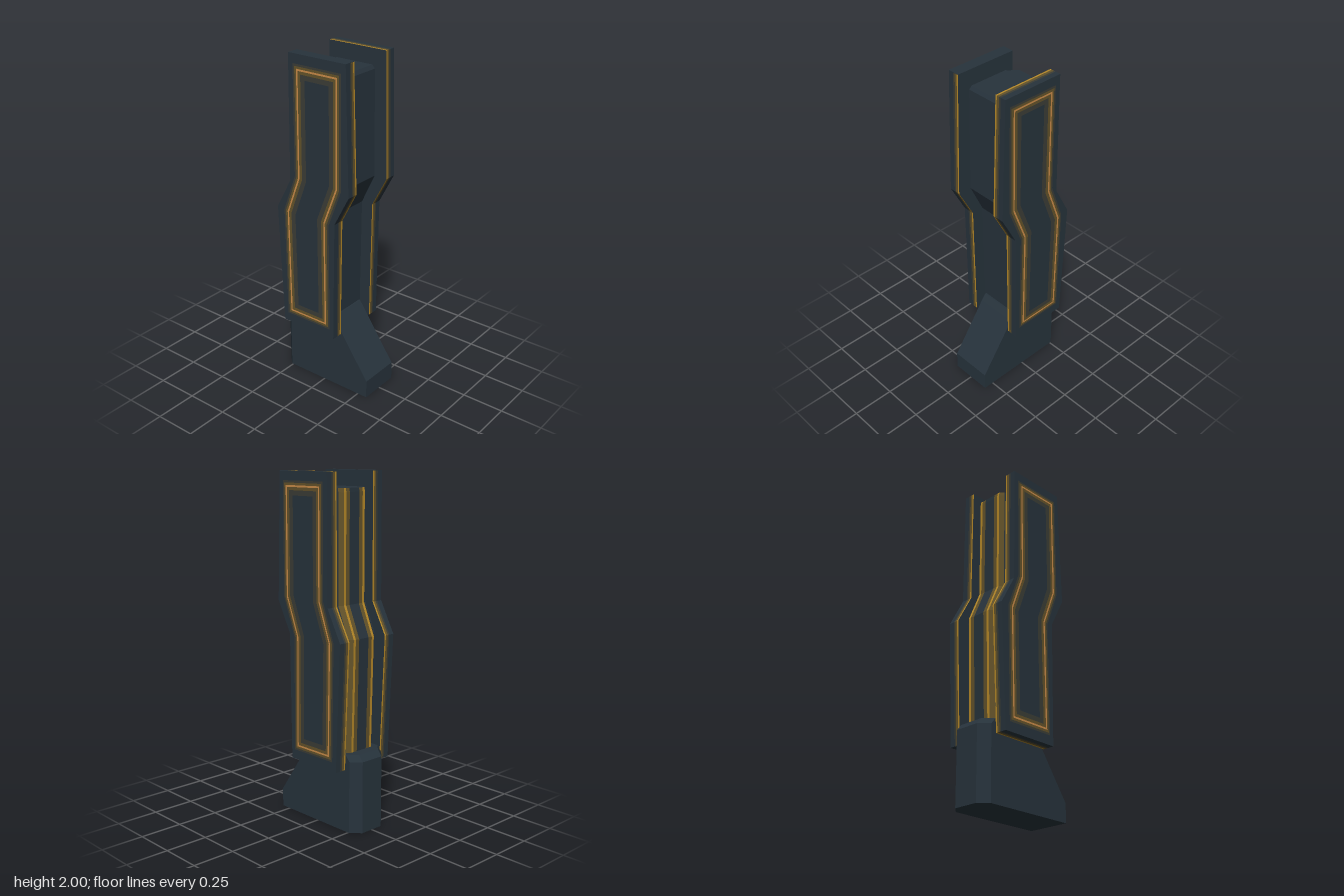
import * as THREE from 'three';

const mat = (name, color) => Object.assign(new THREE.MeshStandardMaterial({ color }), { name });

// Panel silhouette and inlay path as [z, y], running down the front and up the back
const PANEL = [[0.213, 2], [0.235, 1.28], [0.14, 1.1], [0.13, 0.37],
  [-0.235, 0.37], [-0.267, 1.1], [-0.17, 1.28], [-0.165, 2]];
const INLAY = [[0.155, 1.918], [0.155, 1.31], [0.07, 1.09], [0.075, 0.455],
  [-0.177, 0.455], [-0.187, 1.09], [-0.105, 1.31], [-0.105, 1.918]];

// Grow (d > 0) or shrink a clockwise outline with mitred corners
function offset(points, d) {
  const n = points.length;
  const normal = (a, b) => new THREE.Vector2(a[1] - b[1], b[0] - a[0]).normalize();
  return points.map((p, i) => {
    const n1 = normal(points[(i + n - 1) % n], p);
    const n2 = normal(p, points[(i + 1) % n]);
    const k = d / (1 + n1.dot(n2));
    return [p[0] + (n1.x + n2.x) * k, p[1] + (n1.y + n2.y) * k];
  });
}

// Skin horizontal rings of [x, y, z] points from bottom to top; bands[i] is the material of strip i
function loft(rings, bands) {
  const pos = [];
  const geo = new THREE.BufferGeometry();
  const n = rings[0].length;
  const add = (m, ...pts) => {
    geo.addGroup(pos.length / 3, pts.length, m);
    pts.forEach((p) => pos.push(...p));
  };
  for (let i = 0; i < n; i++) {
    const j = (i + 1) % n;
    for (let k = 0; k + 1 < rings.length; k++) {
      const lo = rings[k], hi = rings[k + 1];
      add(bands[i] ?? 0, lo[i], lo[j], hi[j], lo[i], hi[j], hi[i]);
    }
    const bottom = rings[0], top = rings[rings.length - 1];
    add(0, [0, bottom[0][1], 0], bottom[j], bottom[i]);
    add(0, [0, top[0][1], 0], top[i], top[j]);
  }
  geo.setAttribute('position', new THREE.Float32BufferAttribute(pos, 3));
  geo.computeVertexNormals();
  return geo;
}

// Mirror a half section, listed from front to back, into a full ring
const mirrorRing = (half, y) => [
  ...half.map(([x, z]) => [x, y, z]),
  ...half.slice().reverse().map(([x, z]) => [-x, y, z]),
];

export function createModel() {
  const model = new THREE.Group();
  model.name = 'bentPillar';
  const slate = mat('slate', 0x27333c);
  const gold = mat('gold', 0xb88a28);
  const olive = mat('olive', 0x64532a);
  const dim = mat('dimOlive', 0x3b3d36);
  const copper = mat('copper', 0xcb8c48);

  const add = (parent, name, geo, material) => {
    const mesh = new THREE.Mesh(geo, material);
    mesh.name = name;
    parent.add(mesh);
    return mesh;
  };

  // Bent core with a chamfered back and gold stripes along the chamfer edges
  const coreRings = [
    [0.45, 0.06, -0.225, 0.137], [1.1, 0.068, -0.24, 0.137], [1.28, 0.153, -0.163, 0.137],
    [1.89, 0.142, -0.162, 0.137], [1.912, 0.13, -0.16, 0.13],
  ].map(([y, front, back, w]) => mirrorRing([
    [w, front], [w, back + 0.05], [w - 0.009, back + 0.05], [0.1, back + 0.022],
    [0.078, back], [0.062, back], [0.036, back],
  ], y));
  const coreBands = [0, 0, 0, 2, 1, 2, 0, 2, 1, 2, 0, 0, 0, 0];
  add(model, 'core', loft(coreRings, coreBands), [slate, gold, olive]);

  // Foot with a sloped toe and a chamfered heel
  const footRings = [
    [0, 0.312, -0.312], [0.11, 0.312, -0.312], [0.42, 0.096, -0.312], [0.455, 0.07, -0.283],
  ].map(([y, front, back]) => mirrorRing(
    [[0.127, front], [0.127, back + 0.053], [0.075, back]], y));
  add(model, 'foot', loft(footRings, []), [slate]);

  for (const s of [1, -1]) {
    const side = new THREE.Group();
    side.name = s > 0 ? 'leftPanel' : 'rightPanel';
    model.add(side);
    const flat = (points) => points.map(([z, y]) => new THREE.Vector2(-s * z, y));

    // Panel in slices, so its rim shades from gold inside to slate outside
    [['rimGold', 0.137, 0.147, gold], ['rimOlive', 0.147, 0.162, olive],
      ['rimDim', 0.162, 0.174, dim], ['plate', 0.174, 0.207, slate],
    ].forEach(([name, a, b, rim]) => {
      const geo = new THREE.ExtrudeGeometry(new THREE.Shape(flat(PANEL)),
        { depth: b - a, bevelEnabled: false });
      geo.translate(0, 0, a).rotateY(s * Math.PI / 2);
      add(side, name, geo, [slate, rim]);
    });

    // Inlaid outline on the outer face with its soft border
    [['inlayBorder', 0.03, -0.05, dim], ['inlayGlow', 0.018, -0.022, olive],
      ['inlayLine', 0.005, -0.005, copper],
    ].forEach(([name, outer, inner, material], i) => {
      const shape = new THREE.Shape(flat(offset(INLAY, outer)));
      shape.holes.push(new THREE.Path(flat(offset(INLAY, inner))));
      const geo = new THREE.ShapeGeometry(shape);
      geo.translate(0, 0, 0.208 + i * 0.001).rotateY(s * Math.PI / 2);
      add(side, name, geo, material);
    });

    // Plain cap on the right panel's top
    if (s < 0) {
      const cap = add(side, 'topCap', new THREE.BoxGeometry(0.07, 0.003, 0.378), slate);
      cap.position.set(-0.172, 2, 0.024);
    }
  }
  return model;
}
